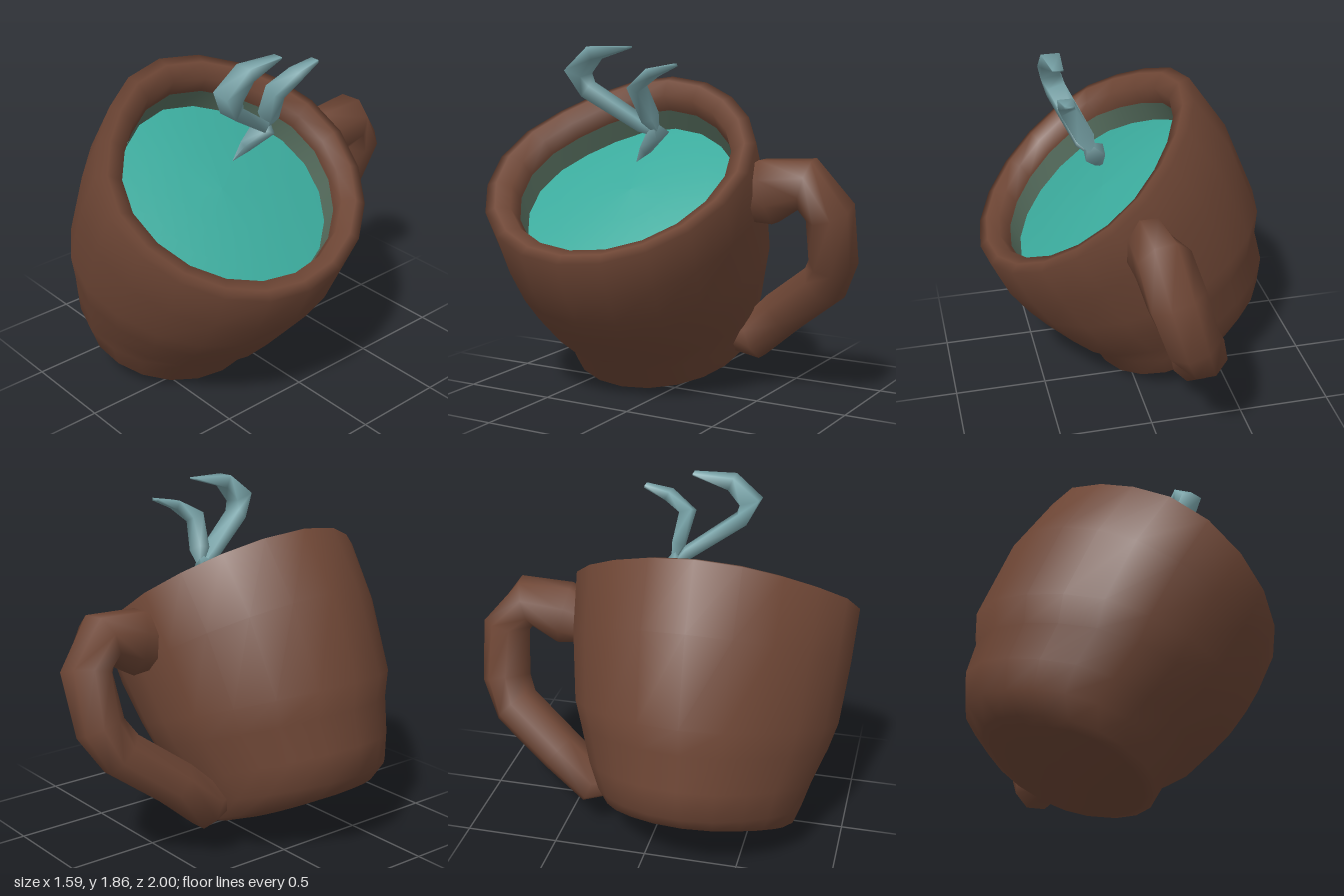
import * as THREE from 'three';

// Skin a list of closed rings (each an array of Vector3) from start to end
function loft(rings) {
  const n = rings[0].length, pos = [], idx = [];
  rings.forEach(r => r.forEach(p => pos.push(p.x, p.y, p.z)));
  for (let i = 0; i < rings.length - 1; i++) {
    for (let j = 0; j < n; j++) {
      const a = i * n + j, c = i * n + (j + 1) % n;
      idx.push(a, a + n, c, c, a + n, c + n);
    }
  }
  const g = new THREE.BufferGeometry();
  g.setAttribute('position', new THREE.Float32BufferAttribute(pos, 3));
  g.setIndex(idx);
  g.computeVertexNormals();
  return g;
}

// Tilted ring: left and right points in x/y, centre and half width in z.
// The left side is pinched a little, more so towards the front.
function cupRing([lx, ly, rx, ry, zc, hz], n = 20) {
  return Array.from({ length: n }, (_, j) => {
    const a = (j / n) * Math.PI * 2;
    const pinch = Math.cos(a) < 0 ? Math.sin(2 * a) ** 2 * (Math.sin(a) > 0 ? 0.07 : 0.035) : 0;
    const c = Math.cos(a) * (1 - pinch) / 2, s = Math.sin(a) * (1 - pinch);
    return new THREE.Vector3((lx + rx) / 2 + (rx - lx) * c, (ly + ry) / 2 + (ry - ly) * c, zc + hz * s);
  });
}
const cupLoft = rows => loft(rows.map(r => cupRing(r)));

// Sweep an oval along [x, y, z, width radius, thickness radius]
function sweep(path, sides) {
  const P = path.map(p => new THREE.Vector3(p[0], p[1], p[2]));
  return loft(path.map((p, i) => {
    const t = P[Math.min(i + 1, P.length - 1)].clone().sub(P[Math.max(i - 1, 0)]).normalize();
    const u = new THREE.Vector3(1, 0, 0).addScaledVector(t, -t.x).normalize();
    const v = u.clone().cross(t);
    return Array.from({ length: sides }, (_, j) => {
      const a = ((j + 0.5) / sides) * Math.PI * 2;
      return P[i].clone().addScaledVector(u, Math.cos(a) * p[3]).addScaledVector(v, Math.sin(a) * p[4]);
    });
  }));
}

export function createModel() {
  const model = new THREE.Group();
  const material = (name, color) => {
    const m = new THREE.MeshStandardMaterial({ color });
    m.name = name;
    return m;
  };
  const clay = material('brown clay', 0x6e4635);
  const teal = material('teal liquid', 0x3baa9c);
  const stain = material('green stain', 0x587060);
  const mist = material('pale steam', 0x78a3a8);
  const add = (name, geometry, mat) => {
    const mesh = new THREE.Mesh(geometry, mat);
    mesh.name = name;
    model.add(mesh);
  };

  // Cup wall: base centre, up the outside, over the rim and down the inside
  add('cup', cupLoft([
    [-0.29, 0.12, -0.29, 0.12, 0.25, 0],
    [-0.48, 0.21, -0.08, 0.03, 0.25, 0.27],
    [-0.63, 0.295, 0.08, 0.002, 0.25, 0.46],
    [-0.70, 0.34, 0.15, 0.01, 0.25, 0.51],
    [-0.79, 0.45, 0.22, 0.13, 0.25, 0.55],
    [-0.80, 0.62, 0.35, 0.20, 0.24, 0.60],
    [-0.75, 0.80, 0.50, 0.35, 0.24, 0.67],
    [-0.76, 0.95, 0.60, 0.46, 0.24, 0.71],
    [-0.58, 1.38, 0.70, 0.60, 0.23, 0.75],
    [-0.37, 1.68, 0.79, 0.80, 0.225, 0.77],
    [-0.31, 1.66, 0.75, 0.84, 0.225, 0.71],
    [-0.26, 1.58, 0.68, 0.855, 0.22, 0.63],
    [-0.31, 1.50, 0.63, 0.79, 0.21, 0.62],
    [-0.42, 1.32, 0.54, 0.65, 0.21, 0.61],
  ]), clay);

  // Stain left by the liquid just above its surface
  add('stainBand', cupLoft([
    [-0.305, 1.495, 0.622, 0.79, 0.21, 0.614],
    [-0.41, 1.325, 0.53, 0.65, 0.21, 0.60],
  ]), stain);

  // Gently domed liquid surface, its edge buried in the wall
  add('liquid', cupLoft([
    [-0.42, 1.41, 0.60, 0.68, 0.21, 0.63],
    [-0.25, 1.33, 0.44, 0.83, 0.21, 0.42],
    [-0.07, 1.22, 0.30, 0.95, 0.21, 0.22],
    [0.11, 1.10, 0.11, 1.10, 0.21, 0],
  ]), teal);

  // Handle loop at the back
  add('handle', sweep([
    [0.04, 1.10, -0.45, 0.11, 0.14],
    [0.03, 1.13, -0.57, 0.12, 0.18],
    [0.02, 1.18, -0.78, 0.15, 0.14],
    [-0.02, 1.04, -0.89, 0.155, 0.125],
    [-0.11, 0.77, -0.875, 0.145, 0.125],
    [-0.18, 0.64, -0.80, 0.13, 0.13],
    [-0.26, 0.44, -0.53, 0.12, 0.13],
    [-0.27, 0.28, -0.35, 0.13, 0.13],
    [-0.23, 0.29, -0.18, 0.08, 0.08],
  ], 8), clay);

  // Forked wisp of steam
  add('steamStem', sweep([
    [0.135, 1.25, 0.16, 0, 0],
    [0.155, 1.32, 0.09, 0.03, 0.035],
    [0.195, 1.42, -0.01, 0.075, 0.05],
    [0.23, 1.48, 0.0, 0, 0],
  ], 4), mist);
  add('steamFrontBranch', sweep([
    [0.19, 1.39, -0.02, 0, 0],
    [0.23, 1.46, 0.06, 0.07, 0.04],
    [0.33, 1.64, 0.33, 0.07, 0.05],
    [0.355, 1.73, 0.375, 0.075, 0.075],
    [0.36, 1.83, 0.27, 0.07, 0.05],
    [0.36, 1.86, 0.06, 0.04, 0.006],
    [0.36, 1.86, 0.06, 0, 0],
  ], 4), mist);
  add('steamBackBranch', sweep([
    [0.19, 1.39, -0.02, 0, 0],
    [0.24, 1.50, 0.01, 0.065, 0.045],
    [0.32, 1.66, 0.04, 0.06, 0.05],
    [0.35, 1.735, -0.07, 0.055, 0.035],
    [0.35, 1.775, -0.20, 0.035, 0.01],
    [0.35, 1.775, -0.20, 0, 0],
  ], 4), mist);

  return model;
}
